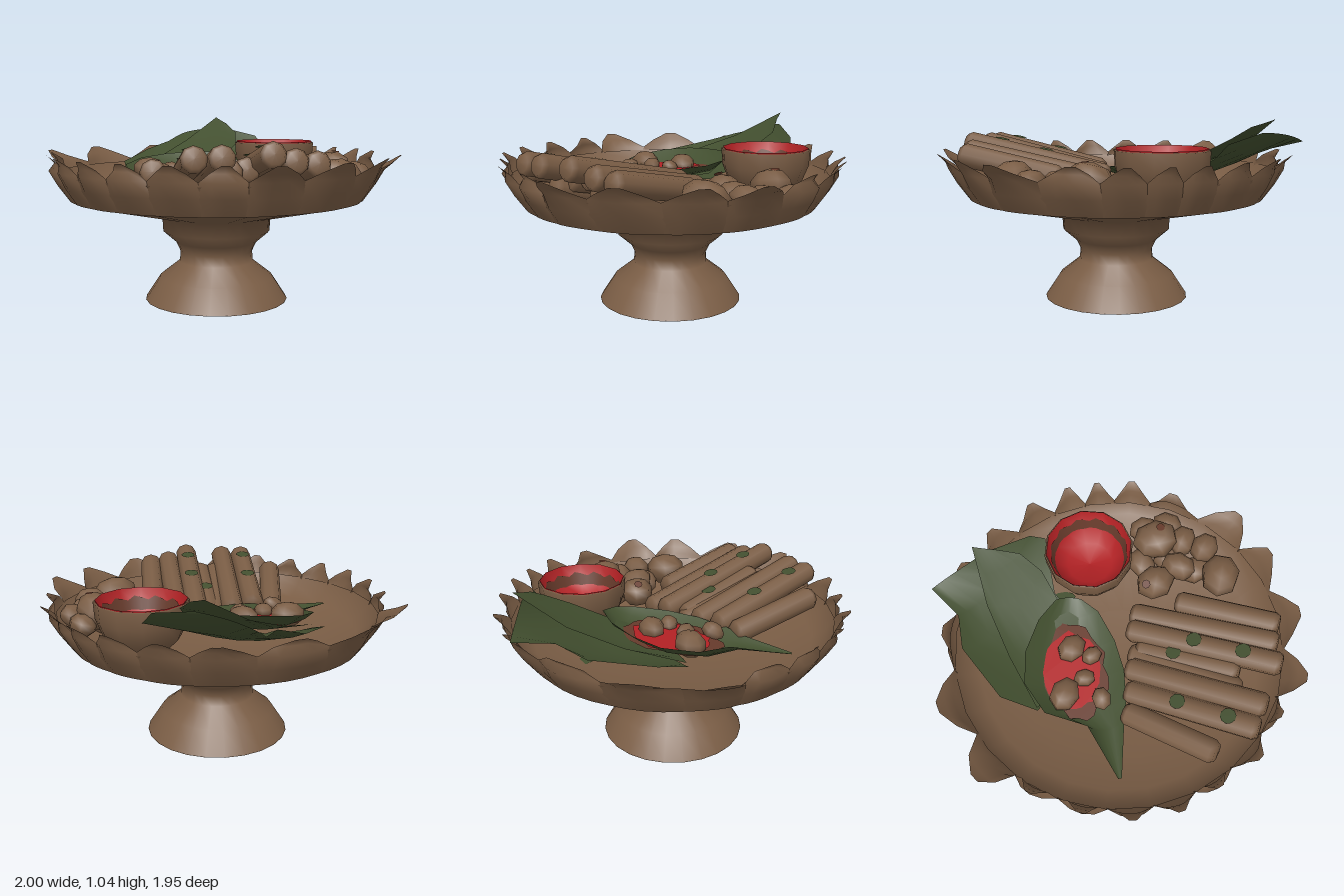
import * as THREE from 'three';

const mat = (name, color) => {
  const m = new THREE.MeshStandardMaterial({ color, side: THREE.DoubleSide });
  m.name = name;
  return m;
};

export function createModel() {
  const root = new THREE.Group();
  root.name = 'offeringTray';
  const brown = mat('clayBrown', 0x7a5d45);
  const green = mat('leafGreen', 0x424f2f);
  const red = mat('pasteRed', 0xb22124);
  const dark = mat('driedBrown', 0x663a2b);

  let seed = 7;
  const rand = () => (seed = (seed * 16807) % 2147483647) / 2147483647;
  const V = (x, y, z) => new THREE.Vector3(x, y, z);

  const add = (name, geo, material, parent = root) => {
    const m = new THREE.Mesh(geo, material);
    m.name = name;
    parent.add(m);
    return m;
  };
  const lathe = (pts, n) => new THREE.LatheGeometry(pts.map(p => new THREE.Vector2(...p)), n);

  // Curved sheet: each row is [left, centre, right], bent smoothly across
  function sheet(rows, n = 6) {
    const pos = [], idx = [];
    rows.forEach((row, i) => {
      const [l, c, r] = row.map(p => V(...p));
      const ctrl = c.clone().multiplyScalar(2).addScaledVector(l, -0.5).addScaledVector(r, -0.5);
      const curve = new THREE.QuadraticBezierCurve3(l, ctrl, r);
      for (let j = 0; j <= n; j++) {
        pos.push(...curve.getPoint(j / n).toArray());
        if (i && j) {
          const b = i * (n + 1) + j, a = b - n - 1;
          idx.push(a - 1, a, b - 1, a, b, b - 1);
        }
      }
    });
    const g = new THREE.BufferGeometry();
    g.setAttribute('position', new THREE.Float32BufferAttribute(pos, 3));
    g.setIndex(idx);
    g.computeVertexNormals();
    return g;
  }

  // Foot, stem and underside of the tray in one profile, with a closed base
  add('pedestalAndTray', lathe([[0.415, 0], [0.33, 0.13], [0.215, 0.22], [0.21, 0.28], [0.235, 0.335],
    [0.31, 0.4], [0.315, 0.485], [0.83, 0.6], [0.9, 0.74]], 24), brown);
  add('footBase', lathe([[0, 0.001], [0.415, 0.001]], 24), brown);
  add('trayFloor', lathe([[0.905, 0.75], [0.865, 0.69], [0.79, 0.637], [0.6, 0.585], [0.3, 0.53], [0, 0.52]], 24), brown);

  // Irregular ring of petals: [angle in degrees, tip radius]
  const petals = new THREE.Group();
  petals.name = 'rimPetals';
  root.add(petals);
  const tips = [[-6.5, 0.97], [8, 0.975], [21.6, 0.95], [37, 0.975], [52.5, 0.95], [66, 1.02], [88, 1],
    [111, 1], [127, 1.03], [150, 0.95], [165, 0.985], [177, 0.98], [187, 0.985], [201, 0.975], [218, 0.985],
    [233.5, 0.99], [257, 0.955], [282, 1.02], [306, 1.05], [320.5, 0.945], [338, 0.95]];
  tips.forEach(([angle, tip], i) => {
    const n = tips.length, rad = Math.PI / 180;
    const before = (angle - tips[(i + n - 1) % n][0] + 360) % 360 * rad / 2;
    const after = (tips[(i + 1) % n][0] - angle + 360) % 360 * rad / 2;
    const row = (r, y, w, bulge, side = r) => [
      [-Math.sin(before * w) * side, y, Math.cos(before * w) * side],
      [0, y, r + bulge],
      [Math.sin(after * w) * side, y, Math.cos(after * w) * side]];
    const p = add('petal', sheet([
      row(0.83, 0.6, 1.05, 0.005), row(0.88, 0.69, 1.15, 0.02),
      row(0.925, 0.77, 1.0, 0.02, 0.905), row(0.95 * tip, 0.81, 0.6, 0.01), row(tip, 0.85, 0.15, 0),
    ], 4), brown, petals);
    p.rotation.y = angle * rad;
  });

  // Two large standing leaves and the cupped leaf in front of them
  add('backLeaf', sheet([
    [[-0.5, 0.7, 0.28], [-0.35, 0.66, 0.1], [-0.2, 0.68, -0.2]],
    [[-0.68, 0.77, 0.19], [-0.5, 0.7, -0.1], [-0.3, 0.75, -0.37]],
    [[-0.84, 0.83, -0.1], [-0.6, 0.77, -0.25], [-0.3, 0.85, -0.67]],
    [[-0.83, 0.88, -0.27], [-0.65, 0.84, -0.4], [-0.38, 0.92, -0.66]],
    [[-0.95, 0.91, -0.44], [-0.82, 0.95, -0.49], [-0.62, 0.97, -0.58]],
  ]), green);
  add('middleLeaf', sheet([
    [[-0.5, 0.72, 0.27], [-0.3, 0.68, 0.1], [-0.15, 0.72, -0.2]],
    [[-0.6, 0.79, -0.02], [-0.45, 0.75, -0.1], [-0.28, 0.79, -0.28]],
    [[-0.67, 0.89, -0.3], [-0.52, 0.86, -0.32], [-0.35, 0.87, -0.46]],
    [[-0.68, 0.97, -0.45], [-0.58, 0.94, -0.47], [-0.45, 0.94, -0.55]],
    [[-0.69, 1.04, -0.58], [-0.63, 1.02, -0.57], [-0.56, 1.0, -0.56]],
  ]), green);
  add('cuppedLeaf', sheet([
    [[-0.3, 0.83, -0.29], [-0.23, 0.81, -0.3], [-0.16, 0.8, -0.28]],
    [[-0.41, 0.83, -0.19], [-0.25, 0.73, -0.2], [-0.08, 0.78, -0.2]],
    [[-0.51, 0.82, -0.02], [-0.26, 0.69, -0.02], [-0.02, 0.76, -0.02]],
    [[-0.54, 0.8, 0.15], [-0.27, 0.66, 0.15], [0, 0.74, 0.15]],
    [[-0.46, 0.77, 0.32], [-0.25, 0.66, 0.32], [-0.02, 0.72, 0.32]],
    [[-0.25, 0.72, 0.42], [-0.15, 0.67, 0.45], [-0.05, 0.7, 0.42]],
    [[-0.14, 0.68, 0.72], [-0.13, 0.68, 0.72], [-0.12, 0.68, 0.72]],
  ]), green);

  // Ragged red paste in the cupped leaf
  function ragged(name, x, rx, rz, y, material) {
    const pts = [];
    for (let i = 0; i < 26; i++) {
      const a = i / 26 * Math.PI * 2, r = 0.88 + rand() * 0.18;
      pts.push(new THREE.Vector2(Math.cos(a) * rx * r, Math.sin(a) * rz * r));
    }
    const m = add(name, new THREE.ShapeGeometry(new THREE.Shape(pts)), material);
    m.rotation.set(-Math.PI / 2 + 0.06, 0, 0);
    m.position.set(x, y, 0.1);
  }
  ragged('pasteEdge', -0.27, 0.185, 0.28, 0.73, dark);
  ragged('paste', -0.28, 0.16, 0.225, 0.736, red);

  // Small bowl with red lining and a jagged band
  const bowl = new THREE.Group();
  bowl.name = 'smallBowl';
  bowl.position.set(-0.07, 0, -0.535);
  root.add(bowl);
  add('bowlShell', lathe([[0, 0.6], [0.12, 0.615], [0.205, 0.7], [0.244, 0.8], [0.25, 0.89], [0.24, 0.893]], 12), brown, bowl);
  add('bowlLining', lathe([[0.24, 0.9], [0.208, 0.79], [0.13, 0.73], [0, 0.71]], 12), red, bowl);
  const band = lathe([[0.2155, 0.848], [0.1945, 0.776]], 36);
  const bp = band.attributes.position;
  for (let i = 0; i < bp.count; i++) {
    const dy = Math.sin(Math.floor(i / 2) * 2.1) * 0.013;
    const f = 1 + dy * 0.3 / 0.205;
    bp.setXYZ(i, bp.getX(i) * f, bp.getY(i) + dy, bp.getZ(i) * f);
  }
  add('bowlBand', band, dark, bowl);

  // Small green flecks, laid flat against a surface
  const fleckGeo = new THREE.CircleGeometry(0.042, 10);
  const fleck = (p, n, stretch = 1) => {
    const f = add('leafFleck', fleckGeo, green);
    f.position.copy(p);
    f.scale.x = stretch;
    f.quaternion.setFromUnitVectors(V(0, 0, 1), n);
  };
  const up = V(0, 1, 0);
  fleck(V(-0.4, 0.58, -0.34), up, 1.8);
  fleck(V(-0.26, 0.575, -0.41), up, 1.8);

  // Rolled sticks leaning on the rim: [x0, z0, x1, z1, lift, ...fleck positions]
  const rolls = [
    [0.37, -0.2, 0.87, 0.09, 0], [0.11, -0.19, 0.83, 0.2, 0.02], [0.07, -0.09, 0.81, 0.33, 0.05, 0.45, 0.76],
    [0.06, 0.03, 0.58, 0.4, 0], [0.02, 0.13, 0.68, 0.53, 0.04], [-0.01, 0.26, 0.61, 0.64, 0.03, 0.41, 0.78],
    [-0.04, 0.37, 0.38, 0.71, -0.02], [0.2, -0.12, 0.7, 0.22, -0.06], [0.1, 0.1, 0.6, 0.48, -0.06],
    [0.1, 0.02, 0.6, 0.3, 0.02, 0.38],
  ];
  const R = 0.066;
  for (const [x0, z0, x1, z1, lift, ...flecks] of rolls) {
    const height = (x, z) => 0.66 + lift + 0.265 * Math.max(0, Math.hypot(x, z) - 0.18);
    const a = V(x0, height(x0, z0), z0), b = V(x1, height(x1, z1), z1);
    const dir = b.clone().sub(a), len = dir.length();
    dir.normalize();
    const m = add('roll', lathe([[0, 0], [0.05, 0.004], [R, 0.03], [R, len - 0.03], [0.05, len - 0.004], [0, len]], 9), brown);
    m.position.copy(a);
    m.quaternion.setFromUnitVectors(up, dir);
    const n = up.clone().addScaledVector(dir, -dir.y).normalize();
    flecks.forEach(t => fleck(a.clone().lerp(b, t).addScaledVector(n, R + 0.003), n));
  }

  // Nuts beside the bowl and pebbles in the paste: [x, y, z, size, turn]
  const nuts = [
    [0.33, 0.75, -0.6, 0.125, 0], [0.65, 0.74, -0.31, 0.125, 1.2], [0.28, 0.71, -0.35, 0.11, 0.4], [0.6, 0.74, -0.5, 0.09, 0.9],
    [0.43, 0.72, -0.42, 0.095, 2.5], [0.49, 0.72, -0.58, 0.09, 1], [0.23, 0.68, -0.5, 0.085, 2], [0.28, 0.7, -0.71, 0.08, 0.2],
    [0.42, 0.72, -0.7, 0.085, 2.8], [0.53, 0.68, -0.4, 0.085, 0.5], [0.4, 0.65, -0.52, 0.09, 0],
    [-0.26, 0.755, -0.02, 0.08, 0.6], [-0.34, 0.745, 0.23, 0.09, 0.9], [-0.22, 0.75, 0.16, 0.055, 0],
    [-0.15, 0.745, 0.29, 0.06, 1.6], [-0.16, 0.75, 0.04, 0.055, 0.4],
  ];
  nuts.forEach(([x, y, z, s, turn]) => {
    const m = add('nut', new THREE.SphereGeometry(s, 7, 5), brown);
    m.scale.set(1.1, 0.78, 0.9);
    m.position.set(x, y, z);
    m.rotation.set(rand() * 0.6 - 0.3, turn, rand() * 0.6 - 0.3);
  });

  // Dark marks on two of the nuts: [position, facing]
  [[V(0.36, 0.85, -0.62), V(0.1, 1, 0)], [V(0.215, 0.79, -0.31), V(-0.5, 1, 0.4)]].forEach(([p, n]) => {
    const d = add('nutSpot', new THREE.CircleGeometry(0.025, 8), dark);
    d.position.copy(p);
    d.quaternion.setFromUnitVectors(V(0, 0, 1), n.normalize());
  });

  return root;
}
